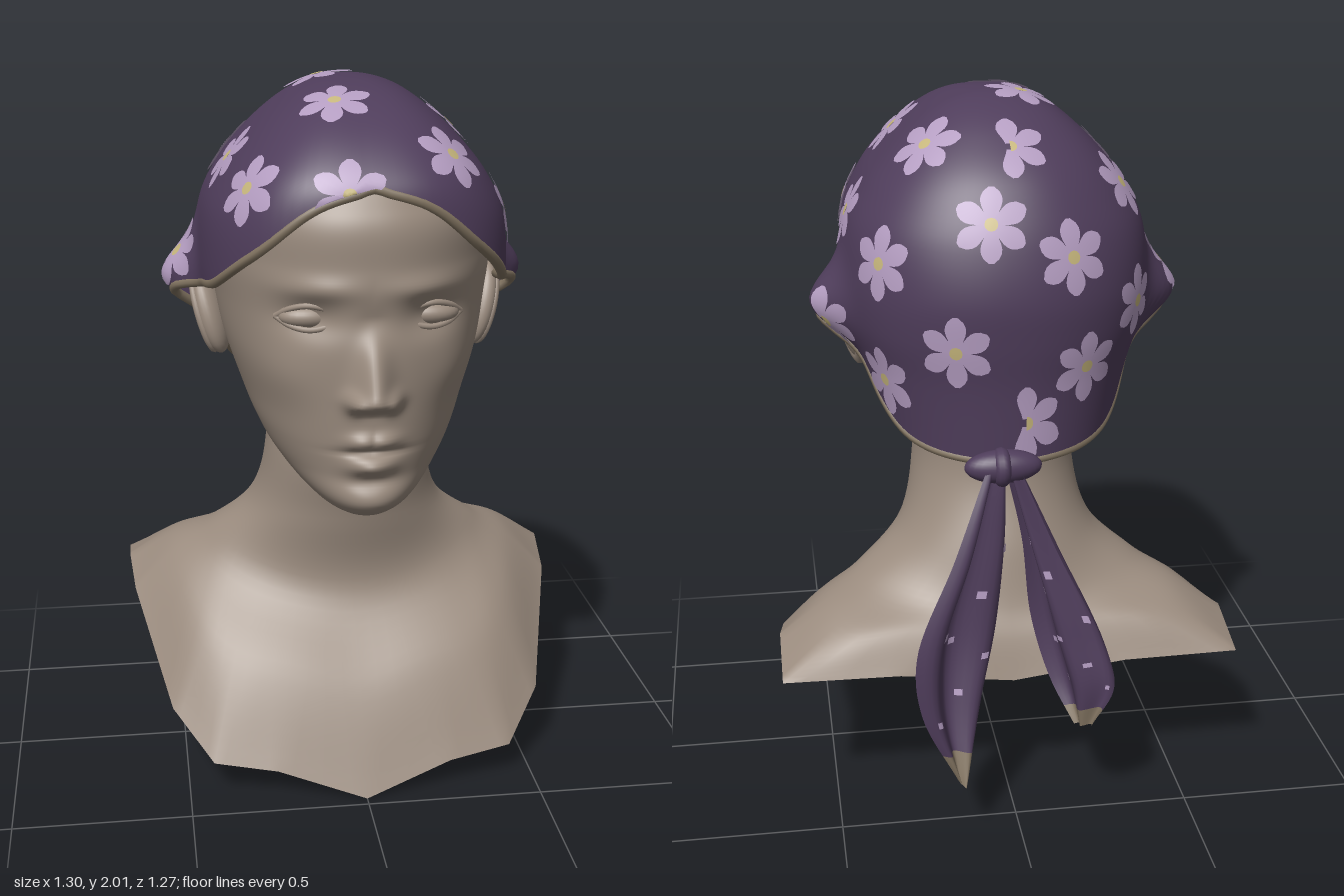
import * as THREE from 'three';
import { mergeVertices } from 'three/addons/utils/BufferGeometryUtils.js';

const V = (x, y, z) => new THREE.Vector3(x, y, z);
const mat = (name, color) => new THREE.MeshStandardMaterial({ name, color, side: THREE.DoubleSide });
const skin = mat('skin', 0x9a8b7e);
const cloth = mat('plum cloth', 0x4f3d5b);
const petalMat = mat('lilac petals', 0xb49dc1);
const pollen = mat('yellow flower centre', 0xc6b67c);
const trim = mat('tan trim', 0x827461);

const mesh = (name, geo, material) => {
  const m = new THREE.Mesh(geo, material);
  m.name = name;
  return m;
};

// Smooth surface from fn(u, v); u runs to the right, v runs downward
function grid(nu, nv, fn) {
  const pos = [], idx = [];
  for (let j = 0; j <= nv; j++)
    for (let i = 0; i <= nu; i++) pos.push(...fn(i / nu, j / nv).toArray());
  for (let j = 0; j < nv; j++)
    for (let i = 0; i < nu; i++) {
      const p = j * (nu + 1) + i, q = p + nu + 1;
      idx.push(p, q, p + 1, p + 1, q, q + 1);
    }
  let g = new THREE.BufferGeometry();
  g.setAttribute('position', new THREE.Float32BufferAttribute(pos, 3));
  g.setIndex(idx);
  g = mergeVertices(g, 1e-5);
  g.computeVertexNormals();
  return g;
}

// Smooth lookup in a table of rows [key, value, value, ...]
function lookup(table, key) {
  const n = table.length - 1;
  const k = THREE.MathUtils.clamp(key, table[0][0], table[n][0]);
  let i = 0;
  while (i < n - 1 && k > table[i + 1][0]) i++;
  const A = table[i], B = table[i + 1], h = B[0] - A[0], t = (k - A[0]) / h;
  const slope = (j, c) => {
    const p = table[Math.max(j - 1, 0)], q = table[Math.min(j + 1, n)];
    return (q[c] - p[c]) / (q[0] - p[0]);
  };
  return A.slice(1).map((a, m) => {
    const c = m + 1, t2 = t * t, t3 = t2 * t;
    return a * (2 * t3 - 3 * t2 + 1) + B[c] * (3 * t2 - 2 * t3)
      + h * (slope(i, c) * (t3 - 2 * t2 + t) + slope(i + 1, c) * (t3 - t2));
  });
}
const gauss = (d, s) => Math.exp(-(d / s) * (d / s));

// Head cross-sections: y, half width, front z, back z, z of the widest point
const HEAD = [
  [0.85, 0, 0.4, 0.2, 0.3], [0.862, 0.075, 0.46, 0.12, 0.3], [0.915, 0.155, 0.53, 0, 0.25],
  [1, 0.235, 0.53, -0.1, 0.15], [1.08, 0.28, 0.54, -0.2, 0.1], [1.16, 0.312, 0.548, -0.24, 0.05],
  [1.3, 0.358, 0.555, -0.3, 0.02], [1.42, 0.38, 0.555, -0.38, 0], [1.55, 0.395, 0.555, -0.43, 0],
  [1.7, 0.38, 0.535, -0.41, 0], [1.85, 0.24, 0.38, -0.28, 0], [1.92, 0, 0.05, -0.05, 0]];

// Face relief: [x, y, x spread, y spread, depth], mirrored where x > 0
const FACE = [
  [0.05, 1.21, 0.026, 0.028, 0.035], [0.16, 1.425, 0.085, 0.05, -0.03], [0.14, 1.505, 0.1, 0.03, 0.014],
  [0.24, 1.26, 0.08, 0.08, 0.014], [0.025, 1.098, 0.045, 0.022, 0.022], [0, 1.03, 0.06, 0.026, 0.034],
  [0, 1.066, 0.085, 0.009, -0.016], [0, 0.98, 0.07, 0.02, -0.01], [0, 0.915, 0.08, 0.04, 0.01],
  [0, 1.41, 0.05, 0.05, -0.012]];

function headPoint(u, v) {
  const q = (u * 2 - 1) * Math.PI, a = q - 0.65 * Math.sin(q);
  const y = 1.92 - v * 1.07;
  const [hw, zf, zb, z0] = lookup(HEAD, y);
  const s = Math.sin(a), c = Math.cos(a), e = 2 / 2.15;
  const x = Math.sign(s) * Math.abs(s) ** e * Math.max(hw, 0);
  let z = z0 + Math.sign(c) * Math.abs(c) ** e * (c > 0 ? zf - z0 : z0 - zb);
  if (c > 0) {
    for (const [fx, fy, sx, sy, d] of FACE)
      z += d * gauss(Math.abs(x) - fx, sx) * gauss(y - fy, sy);
    // Nose ridge, rising toward the tip and cut back underneath
    const ramp = Math.min(Math.max((1.43 - y) / 0.2, 0), 1) * THREE.MathUtils.smoothstep(y, 1.165, 1.22);
    z += 0.08 * ramp ** 1.2 * gauss(x, 0.034 + 0.014 * ramp);
  }
  return V(x, y, z);
}

// Neck and bust rings, each given by its half outline from front to back
const EDGE = [[0, 0, 0.47], [0.25, 0.08, 0.425], [0.43, 0.1, 0.39], [0.54, 0.21, 0.25], [0.635, 0.45, -0.09],
  [0.648, 0.5, -0.25], [0.648, 0.45, -0.447], [0.32, 0.45, -0.455], [0, 0.41, -0.455]].map(p => V(...p));
const neckRing = (hw, zf, zb, y, tilt = 0, lift = 0) => EDGE.map((_, k) => {
  const s = Math.sin(k * Math.PI / 8), c = Math.cos(k * Math.PI / 8);
  return V(hw * s, y + tilt * c + lift * s * s, (zf + zb) / 2 + c * (zf - zb) / 2);
});
function bustGeometry() {
  const base = neckRing(0.41, 0.165, -0.375, 0.56, -0.04, 0.08);
  const chest = base.map((p, k) => p.clone().lerp(EDGE[k], 0.5).add(V(0, 0.015, k < 4 ? 0.02 : 0)));
  const rings = [neckRing(0.25, 0.12, -0.25, 1.25), neckRing(0.235, 0.225, -0.25, 0.95),
    neckRing(0.285, 0.19, -0.325, 0.75), base, chest, EDGE].map(half => {
    const left = half.slice(1, 8).map(p => V(-p.x, p.y, p.z));
    const points = [half[8], ...left.reverse(), ...half.slice(0, 8)];
    // Zero tension keeps the cut edge in straight segments
    return half === EDGE ? new THREE.CatmullRomCurve3(points, true, 'catmullrom', 0)
      : new THREE.CatmullRomCurve3(points, true);
  });
  const columns = [];
  for (let i = 0; i <= 64; i++) columns.push(new THREE.CatmullRomCurve3(rings.map(r => r.getPoint(i / 64))));
  return grid(64, 40, (u, v) => columns[Math.round(u * 64)].getPoint(v));
}

// Scarf: w = sqrt(2 - y), half width, front reach, back reach
const SCARF = [[0, 0, 0, 0], [0.158, 0.125, 0.24, 0.13], [0.3, 0.225, 0.4, 0.25], [0.412, 0.305, 0.505, 0.345],
  [0.49, 0.36, 0.555, 0.395], [0.583, 0.41, 0.568, 0.44], [0.693, 0.425, 0.565, 0.47],
  [0.775, 0.415, 0.55, 0.465], [0.85, 0.38, 0.53, 0.45], [0.95, 0.34, 0.5, 0.44], [1, 0.33, 0.48, 0.435]];
// Height of the scarf rim by angle from the front
const RIM = [[0, 1.77], [0.27, 1.72], [0.55, 1.6], [0.91, 1.49], [1.3, 1.45], [1.6, 1.41],
  [1.78, 1.33], [2.06, 1.2], [2.44, 1.11], [Math.PI, 1.07]];
const rimY = a => lookup(RIM, Math.abs(a))[0];

function scarfRadius(a, y) {
  const [hw, zf, zb] = lookup(SCARF, Math.sqrt(Math.max(2 - y, 0))).map(d => Math.max(d, 1e-4));
  const s = Math.abs(Math.sin(a)), c = Math.cos(a), n = 2.6 + 0.4 * c;
  const r = ((s / hw) ** n + (Math.abs(c) / (c > 0 ? zf : zb)) ** n) ** (-1 / n);
  return r + 0.1 * gauss(Math.abs(a) - 1.68, 0.22) * gauss(y - 1.43, 0.1); // bulge over the ears
}
function scarfPoint(a, y, out = 0) {
  const r = scarfRadius(a, y) + out;
  return V(r * Math.sin(a), y, r * Math.cos(a));
}

// Drops a point onto the scarf along a ray from the middle of the head
const CORE = V(0, 1.45, 0);
function ontoScarf(p) {
  const d = p.clone().sub(CORE).normalize();
  let lo = 0, hi = 1;
  for (let i = 0; i < 26; i++) {
    const t = (lo + hi) / 2, q = CORE.clone().addScaledVector(d, t);
    if (q.y < 2 && Math.hypot(q.x, q.z) < scarfRadius(Math.atan2(q.x, q.z), q.y)) lo = t; else hi = t;
  }
  const q = CORE.clone().addScaledVector(d, lo + 0.006), a = Math.atan2(q.x, q.z);
  return q.y < rimY(a) ? scarfPoint(a, rimY(a), 0.004) : q;
}

// Flowers: x, z, y, and 1 where a fold hides half of the flower
const FLOWERS = [[-0.07, -0.02, 1.99], [-0.07, 0.3, 1.955], [0.235, 0.13, 1.875], [0.2, -0.19, 1.885],
  [-0.01, -0.28, 1.89, 1], [-0.33, -0.2, 1.77], [-0.34, 0.12, 1.79], [-0.3, 0.4, 1.75], [0.215, 0.43, 1.83],
  [-0.06, 0.53, 1.74], [0.06, -0.42, 1.72], [-0.15, -0.42, 1.63], [0.155, -0.44, 1.39], [-0.19, -0.4, 1.33],
  [-0.33, -0.28, 1.47], [0.38, 0.25, 1.66], [0.41, -0.03, 1.68], [0.33, -0.3, 1.6],
  [0.34, -0.28, 1.27], [0.44, -0.1, 1.39, 1], [-0.45, -0.02, 1.51], [-0.03, -0.44, 1.19, 1]];
function flower([x, z, y, half]) {
  const g = new THREE.Group();
  g.name = 'flower';
  const P = ontoScarf(scarfPoint(Math.atan2(x, z), y));
  const N = P.clone().sub(CORE).normalize();
  const T = V(0, 1, 0).cross(N).normalize(), B = N.clone().cross(T);
  const at = (r, a, side = 0) => ontoScarf(P.clone()
    .addScaledVector(T, r * Math.cos(a) - side * Math.sin(a))
    .addScaledVector(B, r * Math.sin(a) + side * Math.cos(a)));
  for (let k = 0; k < 6; k++) {
    const a = (k + 0.5) * Math.PI / 3;
    if (half && Math.cos(a) < -0.1) continue;
    g.add(mesh('petal', grid(4, 7, (u, v) =>
      at(0.01 + 0.092 * v, a, (u - 0.5) * (0.022 + 0.036 * Math.sin(Math.PI * v ** 1.4)) * (v > 0.99 ? 0.6 : 1))), petalMat));
  }
  const arc = half ? Math.PI : 2 * Math.PI;
  g.add(mesh('flowerCentre', grid(12, 2, (u, v) => at(0.018 * v, u * arc - Math.PI / 2)
    .addScaledVector(N, 0.002)), pollen));
  return g;
}

// Knotted scarf end: folded cloth between an inner and an outer edge, tan at the tip
function tail(name, inner, outer) {
  const g = new THREE.Group();
  g.name = name;
  const [A, B] = [inner, outer].map(e => new THREE.CatmullRomCurve3(e.map(p => V(...p))));
  const at = (u, t, out = 0) => {
    const a = A.getPoint(t), b = B.getPoint(t), w = b.clone().sub(a);
    const n = V(w.z, 0, -w.x).normalize();
    const fold = 0.032 * Math.sin(u * 3 * Math.PI) * Math.sin(Math.PI * (0.1 + 0.8 * t));
    return a.addScaledVector(w, u).addScaledVector(n, fold + out);
  };
  g.add(mesh('tailCloth', grid(18, 30, (u, v) => at(u, v * 0.9)), cloth),
    mesh('tailTrim', grid(18, 4, (u, v) => at(u, 0.9 + v * 0.1)), trim));
  // Pale flecks of the print on both faces
  for (let k = 0; k < 9; k++) {
    const u0 = 0.1 + 0.75 * ((k * 0.618) % 1), t0 = 0.25 + k * 0.065;
    for (const out of [0.005, -0.005])
      g.add(mesh('printFleck', grid(2, 2, (u, v) => at(u0 + u * 0.07, t0 + v * 0.022, out)), petalMat));
  }
  return g;
}

function ball(name, material, pos, scale) {
  const m = mesh(name, new THREE.SphereGeometry(1, 28, 20), material);
  m.position.set(...pos);
  m.scale.set(...scale);
  return m;
}

export function createModel() {
  const model = new THREE.Group();
  model.name = 'bustWithHeadscarf';
  model.add(mesh('head', grid(128, 120, headPoint), skin), mesh('neckAndBust', bustGeometry(), skin));

  // Eyes and ears
  for (const s of [1, -1]) {
    model.add(ball('eyeball', skin, [s * 0.16, 1.425, 0.45], [0.08, 0.036, 0.055]));
    for (const [lid, h] of [['upperLid', 0.036], ['lowerLid', -0.028]]) {
      const pts = [[0.08, 0, 0.497], [0.12, 0.75, 0.505], [0.165, 1, 0.5], [0.21, 0.7, 0.478], [0.245, 0, 0.445]]
        .map(([x, k, z]) => V(s * x, 1.424 + k * h, z));
      model.add(mesh(lid, new THREE.TubeGeometry(new THREE.CatmullRomCurve3(pts), 20, 0.008, 8), skin));
    }
    const ear = new THREE.Group();
    ear.name = 'ear';
    ear.add(ball('earBody', skin, [0, 0, 0], [0.042, 0.125, 0.066]));
    const helix = mesh('earRim', new THREE.TorusGeometry(0.05, 0.013, 10, 32), skin);
    helix.rotation.y = Math.PI / 2;
    helix.scale.set(1, 1.9, 1);
    helix.position.x = s * 0.02;
    ear.add(helix);
    ear.position.set(s * 0.39, 1.335, 0);
    ear.rotation.set(-0.2, s * 0.35, -s * 0.25);
    model.add(ear);
  }

  // Scarf cap with its rim tucked just inside
  const angle = u => (u * 2 - 1) * Math.PI;
  model.add(mesh('scarf', grid(120, 60, (u, v) => {
    const a = angle(u), w = v * Math.sqrt(2 - rimY(a));
    return scarfPoint(a, 2 - w * w);
  }), cloth));
  const rim = [];
  for (let i = 0; i < 80; i++) rim.push(scarfPoint(angle(i / 80), rimY(angle(i / 80)), -0.01).add(V(0, -0.004, 0)));
  model.add(mesh('scarfRim', new THREE.TubeGeometry(new THREE.CatmullRomCurve3(rim, true), 160, 0.014, 8, true), trim));
  FLOWERS.forEach(f => model.add(flower(f)));

  // Knot and tails
  const loop = mesh('knotLoop', new THREE.TorusGeometry(0.032, 0.022, 12, 28), cloth);
  loop.position.set(0.04, 1.075, -0.475);
  loop.rotation.y = Math.PI / 2;
  model.add(ball('knot', cloth, [0.035, 1.075, -0.47], [0.105, 0.046, 0.045]), loop);
  model.add(tail('leftTail',
    [[0.03, 1.07, -0.48], [0.03, 0.85, -0.445], [0.05, 0.6, -0.44], [0.1, 0.4, -0.5], [0.16, 0.17, -0.61]],
    [[0.08, 1.09, -0.5], [0.18, 0.85, -0.57], [0.29, 0.6, -0.625], [0.28, 0.42, -0.63], [0.18, 0.2, -0.62]]));
  model.add(tail('rightTail',
    [[0.03, 1.07, -0.48], [-0.02, 0.85, -0.45], [-0.05, 0.6, -0.435], [-0.1, 0.42, -0.47], [-0.16, 0.3, -0.53]],
    [[0, 1.09, -0.5], [-0.1, 0.85, -0.55], [-0.22, 0.6, -0.615], [-0.25, 0.47, -0.63], [-0.2, 0.32, -0.58]]));
  return model;
}
